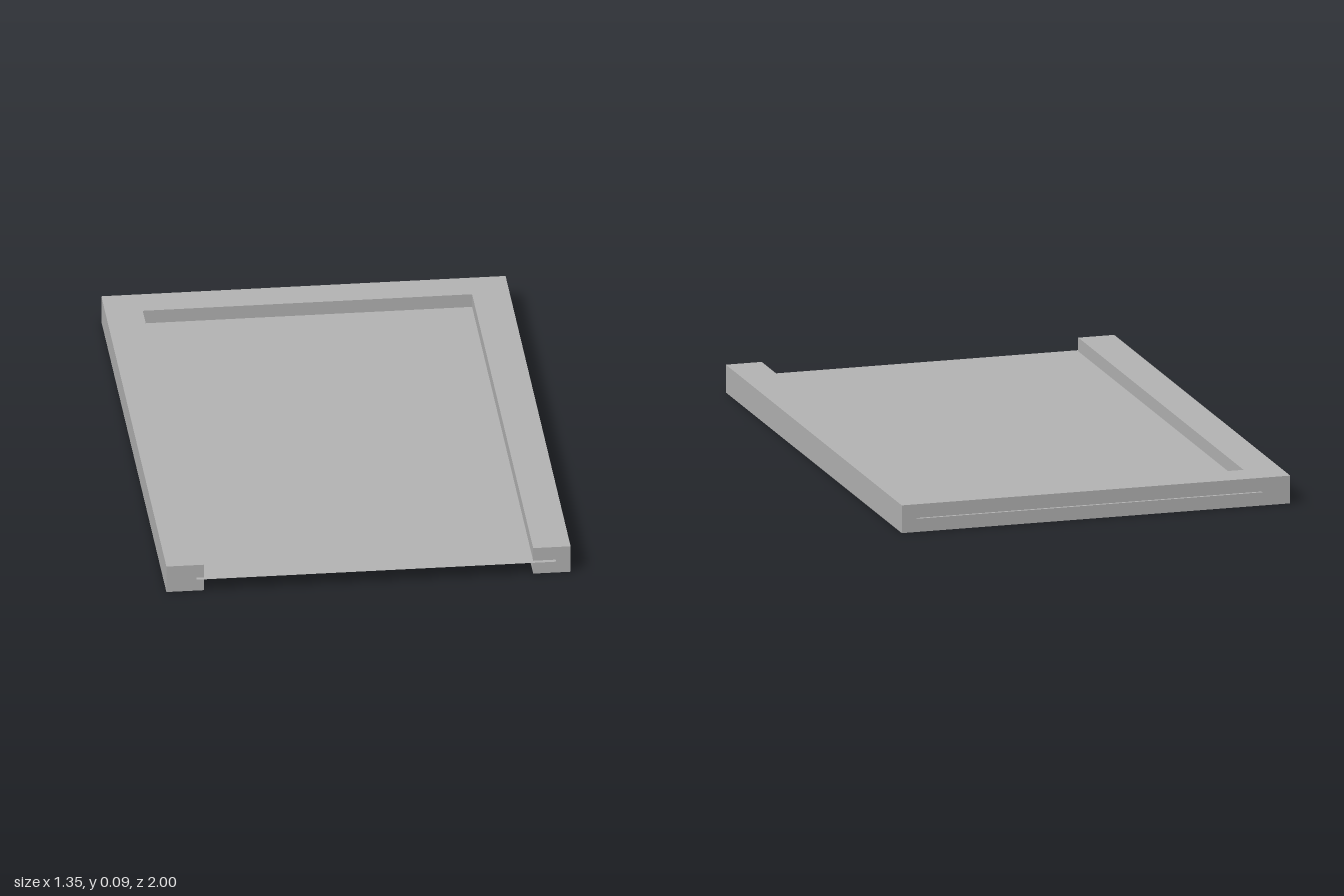
import * as THREE from 'three';

export function createModel() {
  const group = new THREE.Group();
  const grey = new THREE.MeshStandardMaterial({ color: 0xb4b4b4, side: THREE.DoubleSide });
  grey.name = 'plain grey';

  // U-shaped frame, open at the front (shape y runs towards the back)
  const outer = 0.675, inner = 0.55, front = -0.985, back = 0.99, lip = 0.87;
  const outline = new THREE.Shape([
    [-outer, front], [-inner, front], [-inner, lip], [inner, lip],
    [inner, front], [outer, front], [outer, back], [-outer, back],
  ].map(([x, y]) => new THREE.Vector2(x, y)));
  const frameGeometry = new THREE.ExtrudeGeometry(outline, { depth: 0.095, bevelEnabled: false });
  frameGeometry.rotateX(-Math.PI / 2);
  const frame = new THREE.Mesh(frameGeometry, grey);
  frame.name = 'frame';
  group.add(frame);

  // Thin sheet passing through the frame, slightly off centre
  const panelGeometry = new THREE.PlaneGeometry(1.2, 2);
  panelGeometry.rotateX(-Math.PI / 2);
  const panel = new THREE.Mesh(panelGeometry, grey);
  panel.name = 'panel';
  panel.position.set(0.025, 0.048, 0);
  group.add(panel);

  return group;
}
